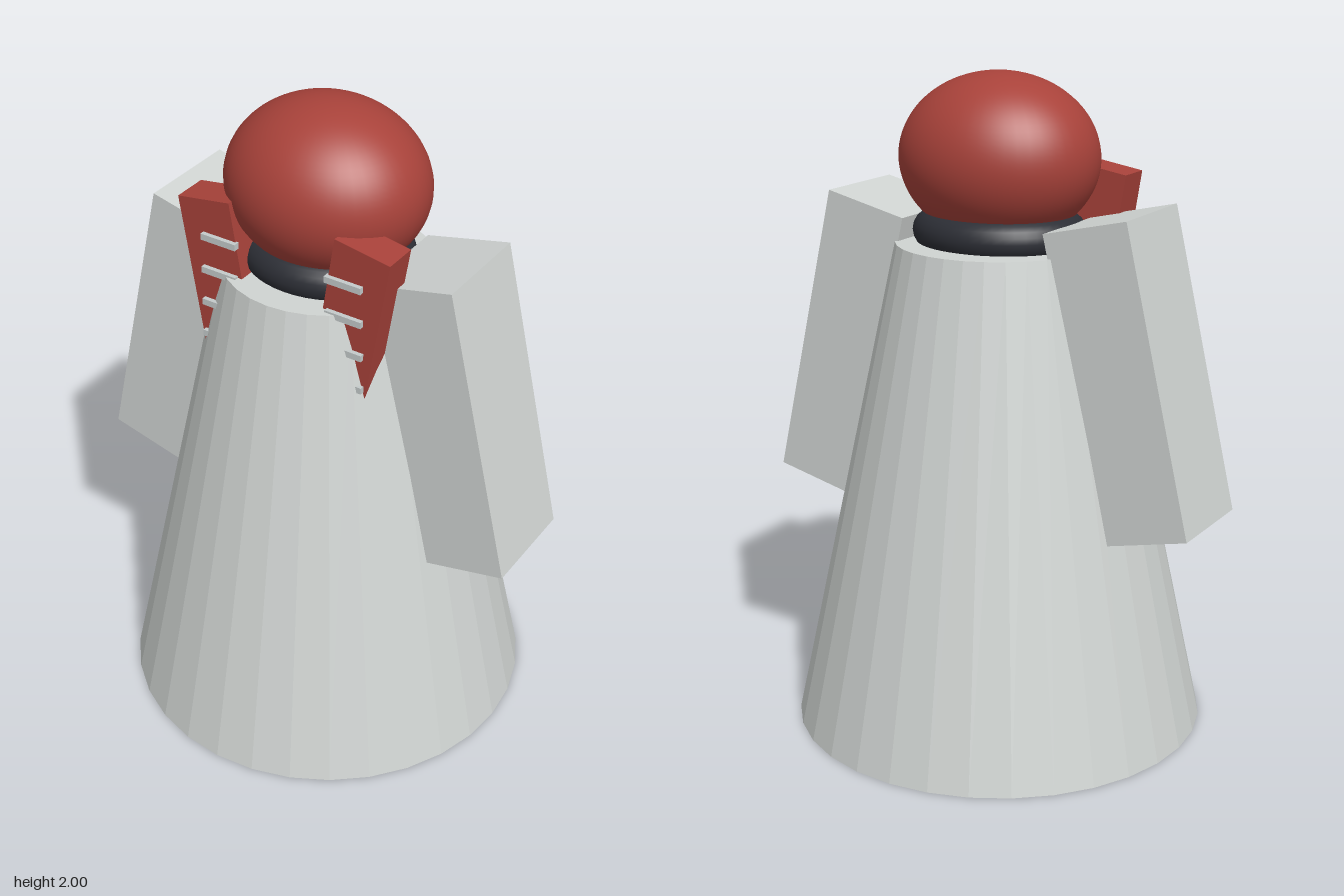
import * as THREE from 'three';

const paint = (name, color, flatShading = false) => {
  const m = new THREE.MeshStandardMaterial({ color, flatShading });
  m.name = name;
  return m;
};

export function createModel() {
  const robeGrey = paint('robeGrey', 0xd0d4d2, true);
  const red = paint('red', 0xa8423a);
  const charcoal = paint('charcoal', 0x2c2e35);
  const silver = paint('silver', 0xc4caca);

  const model = new THREE.Group();
  model.name = 'robedFigure';
  const add = (parent, name, geometry, material, x = 0, y = 0, z = 0) => {
    const mesh = new THREE.Mesh(geometry, material);
    mesh.name = name;
    mesh.position.set(x, y, z);
    parent.add(mesh);
    return mesh;
  };

  // Tapered robe
  add(model, 'robe', new THREE.CylinderGeometry(0.31, 0.633, 1.5, 32), robeGrey, 0, 0.75, 0);

  // Oval rolled collar
  const collar = add(model, 'collar', new THREE.TorusGeometry(0.175, 0.06, 20, 48).rotateX(Math.PI / 2),
    charcoal, 0, 1.533, 0);
  collar.scale.x = 1.13;

  // Domed head, cut flat underneath
  const cut = Math.acos(-0.64);
  const head = add(model, 'head', new THREE.SphereGeometry(1, 48, 32, 0, Math.PI * 2, 0, cut), red, 0, 1.75, 0);
  head.scale.set(0.306, 0.25, 0.27);
  const base = add(model, 'headBase', new THREE.CircleGeometry(Math.sin(cut), 48).rotateX(Math.PI / 2),
    charcoal, 0, 1.59, 0);
  base.scale.set(0.306, 1, 0.27);

  // Mirrored sleeves, lapels and clasps
  for (const side of [1, -1]) {
    const label = side > 0 ? 'left' : 'right';

    const sleeve = add(model, label + 'Sleeve', new THREE.BoxGeometry(0.27, 0.924, 0.324), robeGrey,
      side * 0.473, 1.151, 0);
    sleeve.rotation.z = side * 0.229;

    // The lower end of each lapel sinks into the robe
    const lapel = add(model, label + 'Lapel', new THREE.BoxGeometry(0.178, 0.6, 0.108), red,
      side * 0.215, 1.423, 0.181);
    lapel.rotation.z = -side * 0.16;

    const clasps = new THREE.Group();
    clasps.name = label + 'Clasps';
    model.add(clasps);
    for (let i = 0; i < 4; i++) {
      add(clasps, 'clasp', new THREE.BoxGeometry(0.118, 0.02, 0.02), silver,
        side * (0.208 + i * 0.002), 1.605 - i * 0.109, 0.239);
    }
  }
  return model;
}
